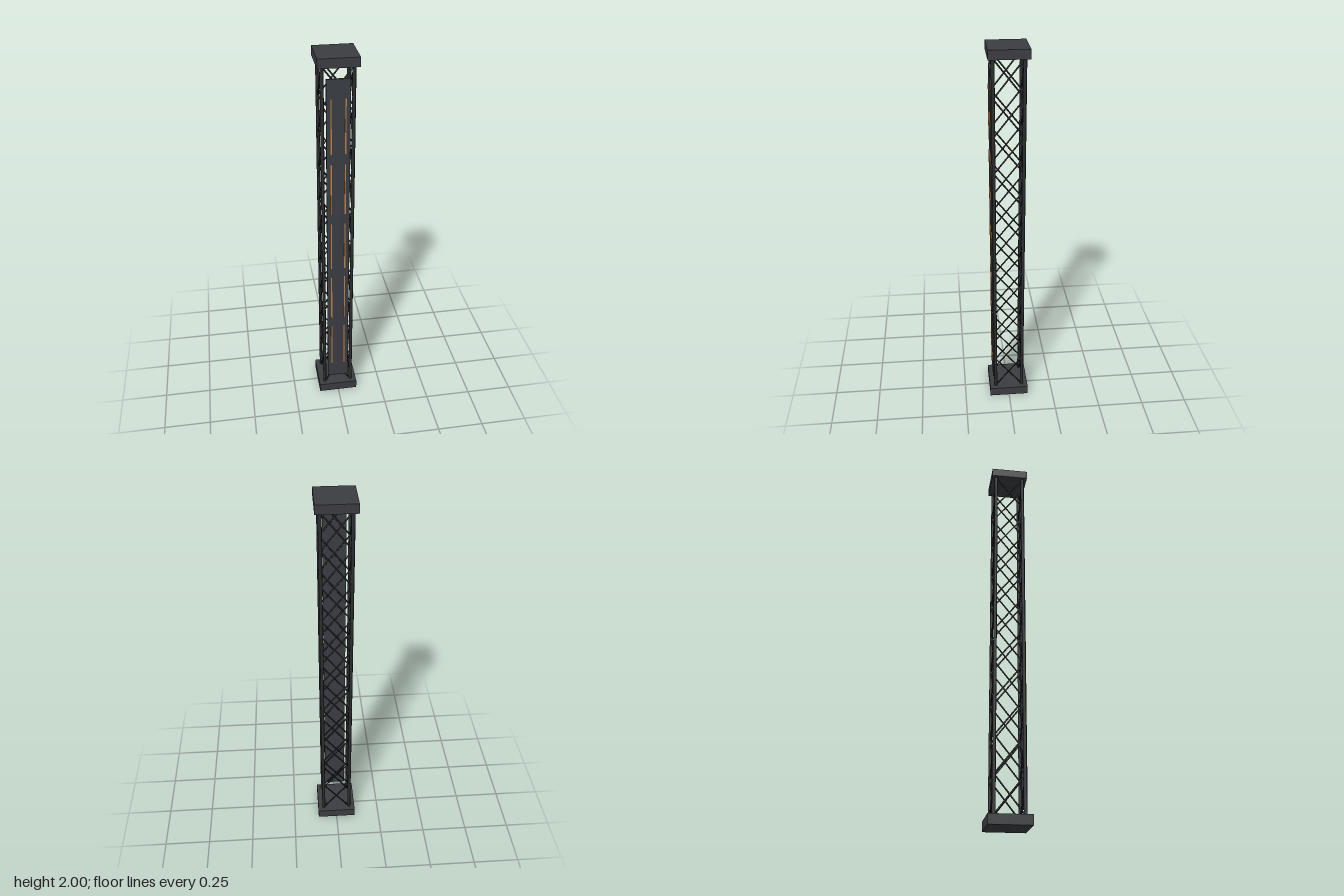
import * as THREE from 'three';

const paint = (color) => new THREE.MeshStandardMaterial({ color });

export function createModel() {
  const tower = new THREE.Group();
  tower.name = 'latticeTower';
  const plateMat = paint(0x3c3d41);
  const steelMat = paint(0x2c2d30);
  const braceMat = paint(0x222326);
  const panelMat = paint(0x3a3d43);
  const stripMat = paint(0xc08040);

  const box = (name, w, h, d, x, y, z, mat, parent = tower) => {
    const mesh = new THREE.Mesh(new THREE.BoxGeometry(w, h, d), mat);
    mesh.name = name;
    mesh.position.set(x, y, z);
    parent.add(mesh);
  };

  // A round bar between two points
  const bar = (name, a, b, radius, mat, parent) => {
    const dir = b.clone().sub(a);
    const mesh = new THREE.Mesh(new THREE.CylinderGeometry(radius, radius, dir.length(), 8), mat);
    mesh.name = name;
    mesh.position.copy(a).add(b).multiplyScalar(0.5);
    mesh.quaternion.setFromUnitVectors(new THREE.Vector3(0, 1, 0), dir.normalize());
    parent.add(mesh);
  };

  // Base and cap plates
  box('basePlate', 0.215, 0.05, 0.215, 0, 0.025, 0, plateMat);
  box('capPlate', 0.198, 0.046, 0.198, 0, 1.977, 0, plateMat);

  // Four corner posts
  const half = 0.075, bottom = 0.05, top = 1.955;
  for (const x of [-half, half])
    for (const z of [-half, half])
      bar('cornerPost', new THREE.Vector3(x, bottom, z), new THREE.Vector3(x, top, z), 0.009, steelMat, tower);

  // Ten crossed bays on each of the four sides
  const bays = 10, step = (top - bottom) / bays;
  for (let side = 0; side < 4; side++) {
    const lattice = new THREE.Group();
    lattice.name = 'latticeSide';
    lattice.rotation.y = side * Math.PI / 2;
    for (let i = 0; i < bays; i++) {
      const y = bottom + i * step;
      for (const s of [-1, 1])
        bar('crossBrace', new THREE.Vector3(-s * half, y, half), new THREE.Vector3(s * half, y + step, half), 0.004, braceMat, lattice);
    }
    tower.add(lattice);
  }

  // Front panel with two columns of light strips
  box('frontPanel', 0.115, 1.8, 0.01, 0, 1, 0.083, panelMat);
  for (let i = 0; i < 5; i++)
    for (const x of [-0.035, 0.035])
      box('lightStrip', 0.006, 0.28, 0.004, x, 1 + (i - 2) * 0.333, 0.089, stripMat);

  return tower;
}
